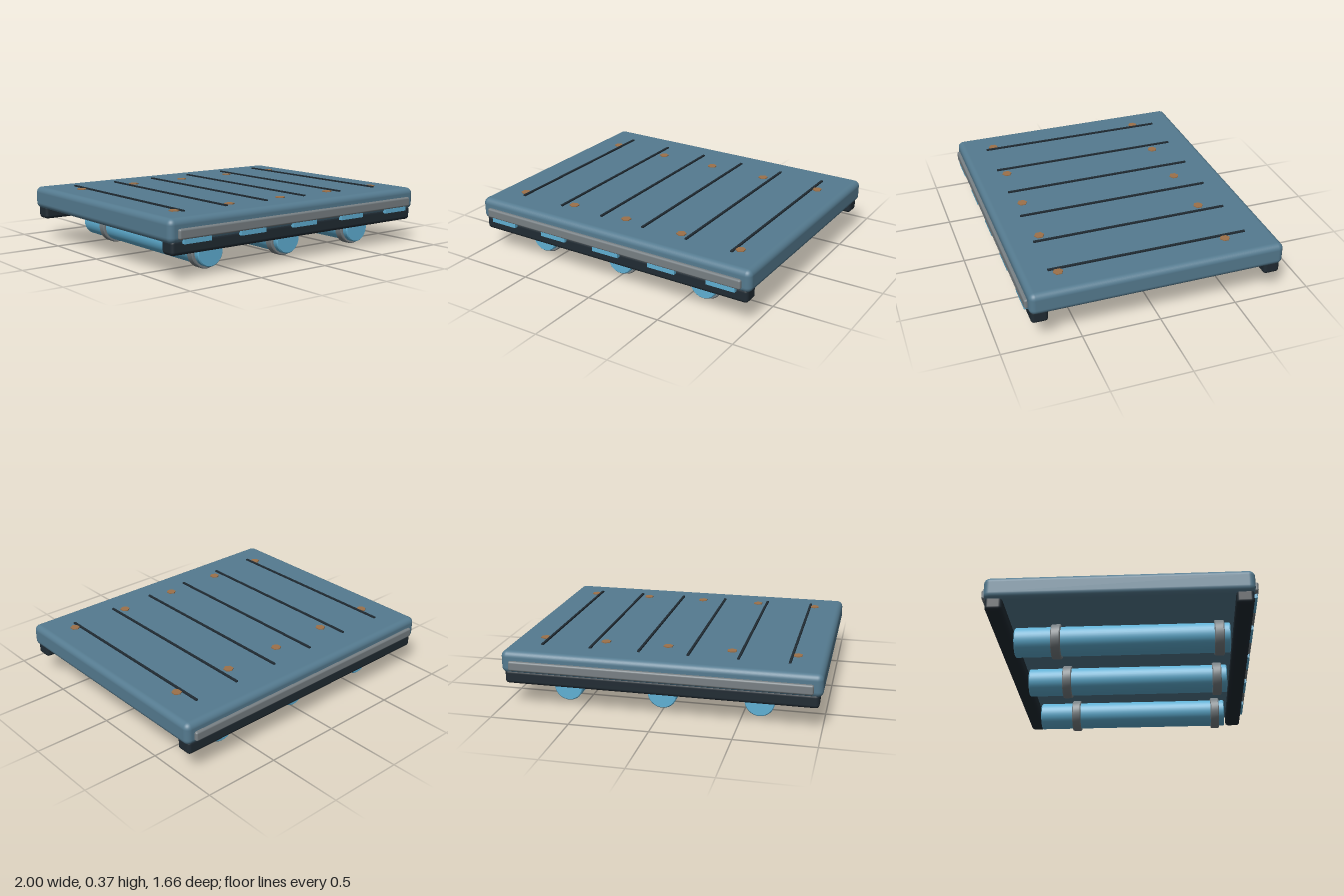
import * as THREE from 'three';
import { RoundedBoxGeometry } from 'three/addons/geometries/RoundedBoxGeometry.js';
import { toCreasedNormals } from 'three/addons/utils/BufferGeometryUtils.js';

function material(name, color) {
  const m = new THREE.MeshStandardMaterial({ color });
  m.name = name;
  return m;
}

export function createModel() {
  const model = new THREE.Group();
  model.name = 'platform';

  const deckBlue = material('deck blue', 0x557b90);
  const lightBlue = material('light blue', 0x60b0d4);
  const metal = material('grey metal', 0x788084);
  const dark = material('dark slate', 0x202b33);
  const copper = material('copper', 0x9c714a);

  function add(name, geometry, mat, x, y, z) {
    const mesh = new THREE.Mesh(geometry, mat);
    mesh.name = name;
    mesh.position.set(x, y, z);
    model.add(mesh);
    return mesh;
  }

  // Closed ring or rod turned about the z axis; points are [radius, z]
  function turned(points) {
    const profile = points.map(([r, z]) => new THREE.Vector2(r, z));
    const geometry = new THREE.LatheGeometry(profile, 40).rotateX(Math.PI / 2);
    return toCreasedNormals(geometry, 0.5);
  }

  // Deck slab
  add('deck', new RoundedBoxGeometry(2, 0.145, 1.62, 4, 0.038), deckBlue, 0, 0.2915, 0);

  // Cross beams under the deck and rails along its front and back edges
  for (const side of [1, -1]) {
    add('crossBeam', new RoundedBoxGeometry(1.96, 0.09, 0.106, 3, 0.022), dark, 0, 0.195, side * 0.747);
    add('edgeRail', new RoundedBoxGeometry(1.89, 0.062, 0.05, 3, 0.012), metal, 0, 0.275, side * 0.804);
  }

  // Dark seams between the deck planks
  for (let i = 0; i < 6; i++) {
    add('plankSeam', new THREE.BoxGeometry(0.015, 0.016, 1.28), dark, (i - 2.5) * 0.313, 0.365, 0);
  }

  // Hexagonal bolts, and light strips below the front rail
  const bolt = new THREE.CylinderGeometry(0.032, 0.032, 0.016, 6).toNonIndexed();
  bolt.computeVertexNormals();
  for (let i = -2; i <= 2; i++) {
    const x = i * 0.407;
    for (const z of [-0.49, 0.585]) add('bolt', bolt, copper, x, 0.362, z);
    add('lightStrip', new THREE.BoxGeometry(0.19, 0.028, 0.03), lightBlue, x, 0.231, 0.808);
  }

  // Float tubes, each held by two clamp rings
  const tube = turned([
    [0, -0.667], [0.087, -0.667], [0.093, -0.661],
    [0.093, 0.661], [0.087, 0.667], [0, 0.667],
  ]);
  const ring = turned([
    [0.09, -0.03], [0.105, -0.03], [0.11, -0.024],
    [0.11, 0.024], [0.105, 0.03], [0.09, 0.03],
  ]);
  for (const x of [-0.61, 0, 0.61]) {
    add('floatTube', tube, lightBlue, x, 0.11, 0);
    for (const z of [0.6, -0.408]) add('clampRing', ring, metal, x, 0.11, z);
  }

  // Lathe winding faces outward when the profile runs upward; rotation keeps it so
  return model;
}
